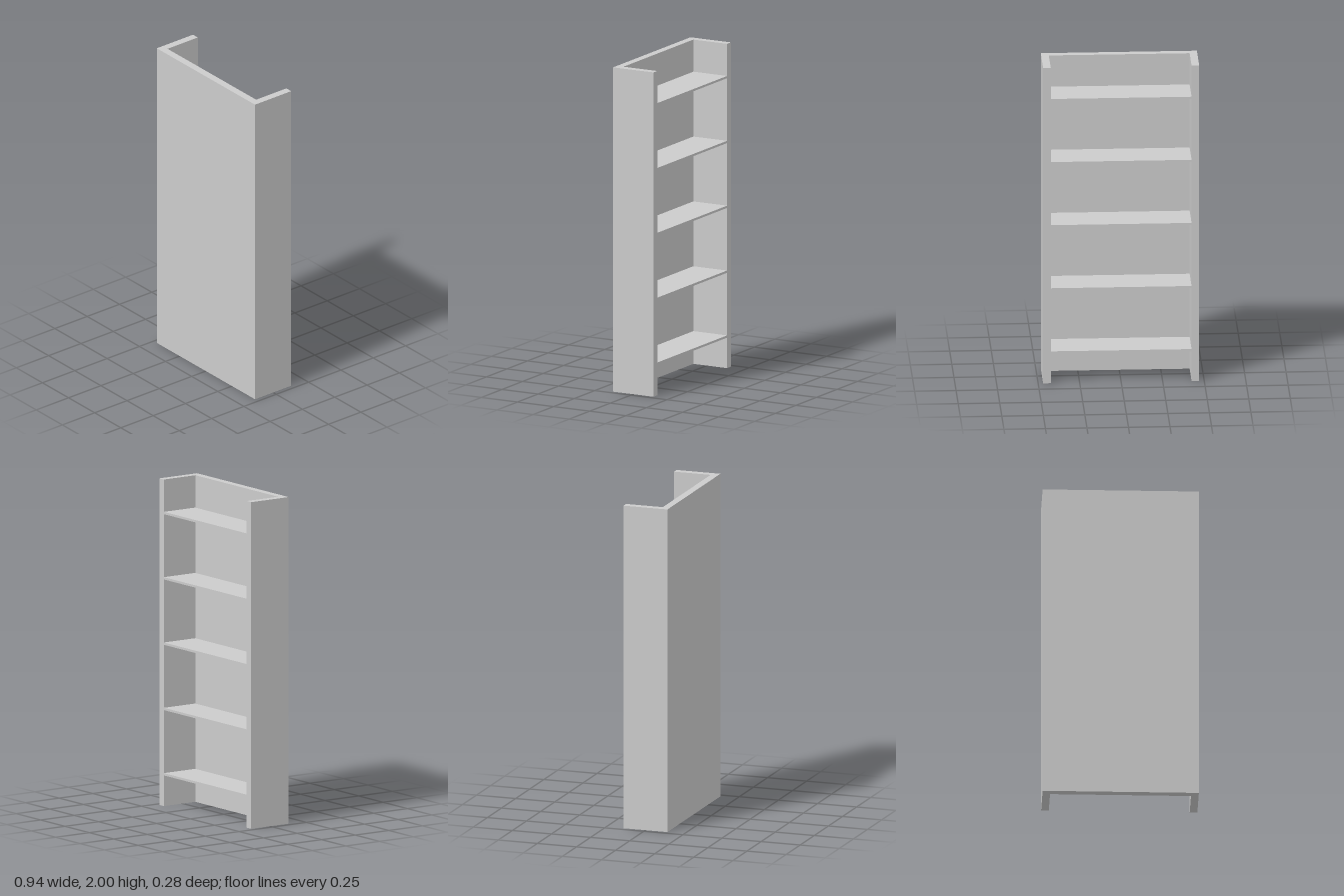
import * as THREE from 'three';

const W = 0.47, D = 0.14, H = 2, T = 0.046; // half width, half depth, height, wall thickness

export function createModel() {
  const group = new THREE.Group();
  const material = new THREE.MeshStandardMaterial({ color: 0xcccccc });
  const add = (name, geometry, x = 0, y = 0, z = 0) => {
    const mesh = new THREE.Mesh(geometry, material);
    mesh.name = name;
    mesh.position.set(x, y, z);
    group.add(mesh);
  };

  // U-shaped case: two sides joined by a panel at +z, open at -z
  // (shape y becomes -z once the extrusion is stood upright)
  const plan = new THREE.Shape([
    [-W, -D], [W, -D], [W, D], [W - T, D],
    [W - T, -D + T], [-W + T, -D + T], [-W + T, D], [-W, D],
  ].map(([x, y]) => new THREE.Vector2(x, y)));
  const shell = new THREE.ExtrudeGeometry(plan, { depth: H, bevelEnabled: false });
  shell.rotateX(-Math.PI / 2);
  add('caseShell', shell);

  // Five thin, evenly spaced shelves, flush with the open side
  const depth = 2 * D - T;
  for (let i = 0; i < 5; i++) {
    add(`shelf${i + 1}`, new THREE.BoxGeometry(2 * (W - T), 0.014, depth), 0, 0.195 + i * 0.4, -T / 2);
  }
  return group;
}
